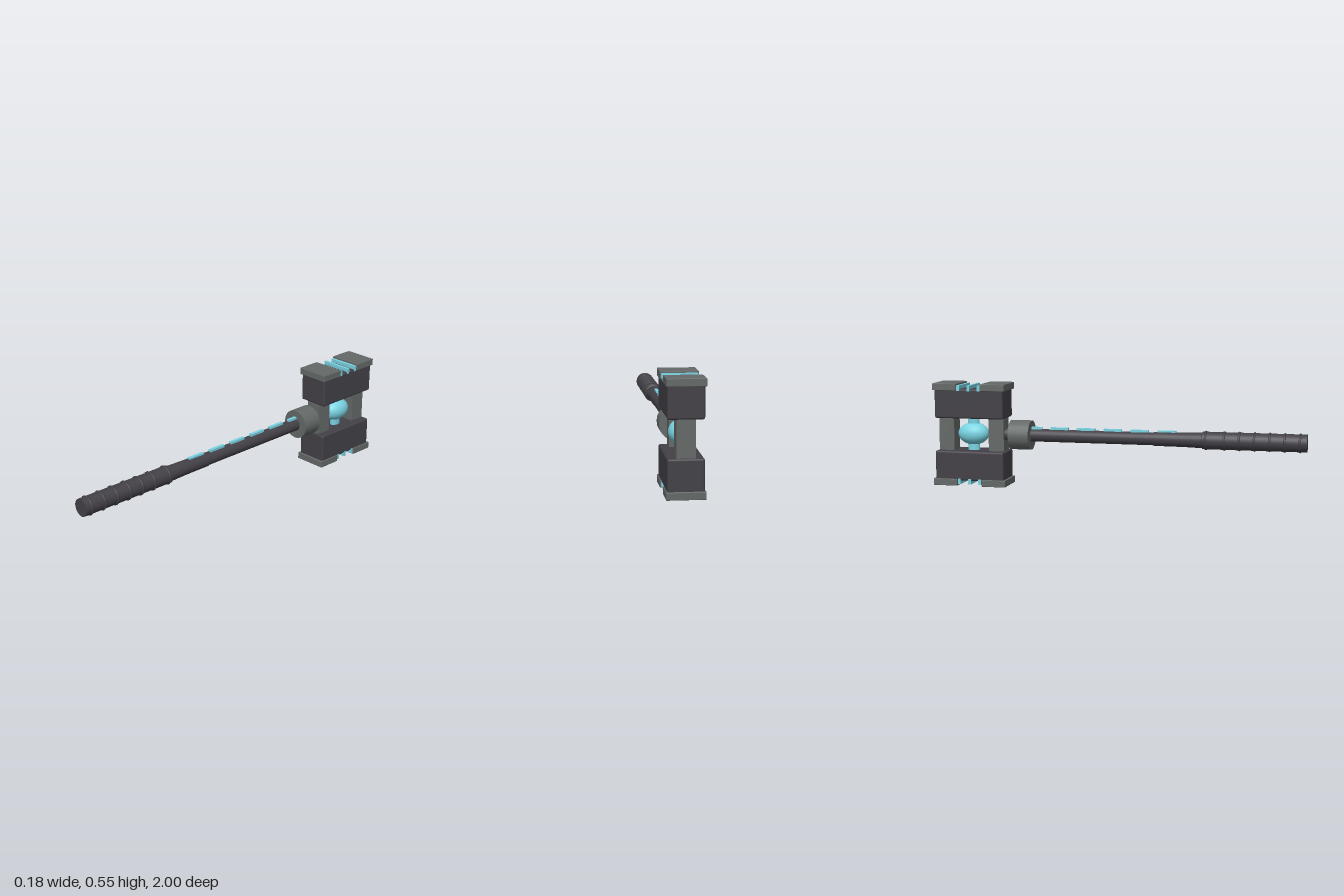
import * as THREE from 'three';
import { RoundedBoxGeometry } from 'three/addons/geometries/RoundedBoxGeometry.js';

const MID = 0.279; // height of the handle axis
const HEAD_Z = -0.798; // centre of the hammer head

export function createModel() {
  const model = new THREE.Group();
  model.name = 'hammer';
  const material = (name, color) => {
    const m = new THREE.MeshStandardMaterial({ color });
    m.name = name;
    return m;
  };
  const dark = material('darkMetal', 0x434147);
  const grey = material('greyMetal', 0x646968);
  const glow = material('paleBlue', 0x7ad3e2);

  const add = (name, geometry, mat, x, y, z, parent = model) => {
    const mesh = new THREE.Mesh(geometry, mat);
    mesh.name = name;
    mesh.position.set(x, y, z);
    parent.add(mesh);
    return mesh;
  };

  // Handle: one turned profile [radius, z] with a thicker grip
  const profile = [
    [0, -0.63], [0.034, -0.63], [0.034, 0.2], [0.037, 0.2], [0.038, 0.36],
    [0.041, 0.455], [0.046, 0.458], [0.046, 0.998], [0, 0.998],
  ];
  // Doubled corners keep the end faces and the grip step crisp
  const points = [];
  profile.forEach(([r, z]) => {
    points.push(new THREE.Vector2(r, z));
    if (r > 0) points.push(new THREE.Vector2(r, z + 0.0004));
  });
  const handle = new THREE.LatheGeometry(points, 32);
  handle.rotateX(Math.PI / 2);
  add('handle', handle, dark, 0, MID, 0);

  // Grip rings
  const ring = new THREE.TorusGeometry(0.044, 0.007, 8, 32);
  for (const z of [0.475, 0.572, 0.65, 0.728, 0.806, 0.884, 0.962]) {
    add('gripRing', ring, dark, 0, MID, z);
  }

  // Raised dashes along the top of the shaft
  for (let i = 0; i < 6; i++) {
    add('shaftDash', new THREE.BoxGeometry(0.018, 0.02, 0.098), glow,
      0, MID + 0.035, 0.267 - i * 0.1455);
  }

  // Collar where the handle meets the head
  const collar = new THREE.CylinderGeometry(0.08, 0.08, 0.113, 20);
  collar.rotateX(Math.PI / 2);
  add('collar', collar, grey, 0, MID, -0.5265);

  // Pillars joining the two blocks
  for (const z of [-0.657, -0.937]) {
    add('pillar', new THREE.BoxGeometry(0.088, 0.22, 0.085), grey, 0, MID, z);
  }

  // Core held between the blocks, flattened sideways
  const orb = add('coreOrb', new THREE.SphereGeometry(1, 32, 20), glow, 0, MID, HEAD_Z);
  orb.scale.set(0.061, 0.061, 0.086);
  const rod = add('coreRod', new THREE.CylinderGeometry(1, 1, 0.2, 24), glow, 0, MID, HEAD_Z);
  rod.scale.set(0.023, 1, 0.033);

  // Upper and lower halves of the head mirror each other
  for (const side of [1, -1]) {
    const half = new THREE.Group();
    half.name = side > 0 ? 'upperHead' : 'lowerHead';
    half.position.set(0, MID, HEAD_Z);
    model.add(half);

    add('headBlock', new RoundedBoxGeometry(0.172, 0.16, 0.384, 3, 0.01), dark,
      0, side * 0.169, 0, half);
    for (const end of [1, -1]) {
      add('endCap', new RoundedBoxGeometry(0.184, 0.037, 0.134, 2, 0.003), grey,
        0, side * 0.2585, end * 0.135, half);
    }
    for (const i of [-1, 0, 1]) {
      add('headStrip', new THREE.BoxGeometry(0.173, 0.03, 0.016), glow,
        0, side * 0.253, i * 0.058, half);
    }
  }
  return model;
}
